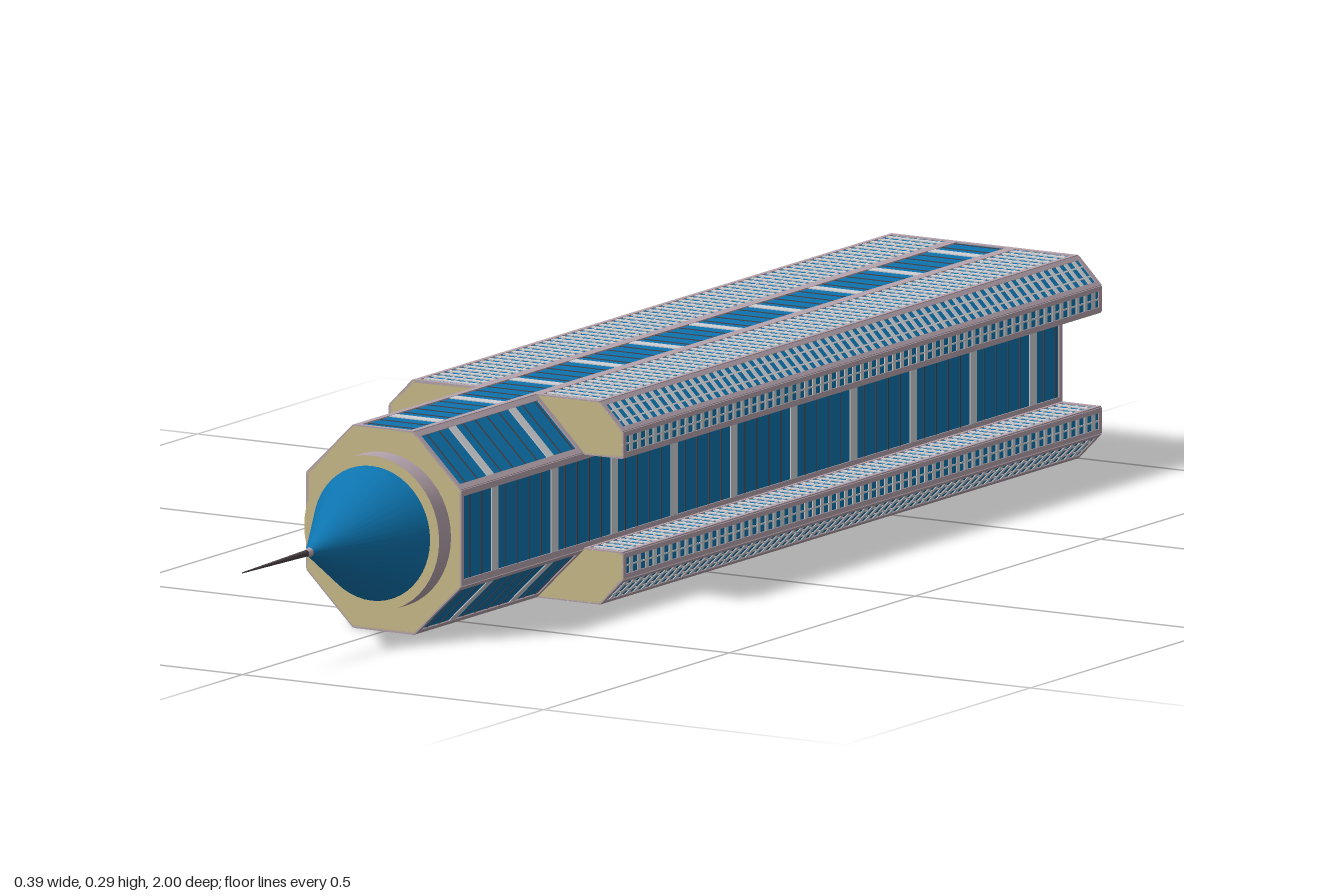
import * as THREE from 'three';
import { mergeGeometries } from 'three/addons/utils/BufferGeometryUtils.js';

const mat = (name, color, extra = {}) => new THREE.MeshStandardMaterial({ name, color, ...extra });
const CY = 0.1465;      // height of the long axis
const BACK = -0.998;

export function createModel() {
  const glass = mat('blueGlass', 0x0d73ae);
  const stone = mat('tanStone', 0xc9bb88);
  const trim = mat('mauveTrim', 0xb5a3ad);
  const pale = mat('paleBand', 0xcfd0d4);
  const dark = mat('darkMetal', 0x4b4145);
  const model = new THREE.Group();
  model.name = 'tower';

  const add = (name, geo, material, parent) => {
    const m = new THREE.Mesh(geo, material);
    m.name = name;
    parent.add(m);
    return m;
  };

  // Prism along z from an outline in the xy plane
  const prism = (pts, z0, z1) => {
    const g = new THREE.ExtrudeGeometry(new THREE.Shape(pts.map(p => new THREE.Vector2(p[0], p[1]))),
      { depth: z1 - z0, bevelEnabled: false });
    return g.translate(0, CY, z0);
  };

  // Outline shrunk about its centre
  const shrink = (pts, s) => {
    const cx = pts.reduce((a, p) => a + p[0], 0) / pts.length;
    const cy = pts.reduce((a, p) => a + p[1], 0) / pts.length;
    return pts.map(p => [cx + (p[0] - cx) * s, cy + (p[1] - cy) * s]);
  };

  // Strip lying on the wall a-b, from distance s0 to s1 along it and z0 to z1
  const strip = (a, b, s0, s1, z0, z1, thick) => {
    const dx = b[0] - a[0], dy = b[1] - a[1], len = Math.hypot(dx, dy), mid = (s0 + s1) / 2 / len;
    return new THREE.BoxGeometry(s1 - s0, thick, z1 - z0)
      .rotateZ(Math.atan2(dy, dx))
      .translate(a[0] + dx * mid, a[1] + dy * mid + CY, (z0 + z1) / 2);
  };
  const length = (a, b) => Math.hypot(b[0] - a[0], b[1] - a[1]);

  // Frame of a wall: two long rails and two end rails
  const frame = (a, b, z0, z1, w) => {
    const L = length(a, b);
    return [
      strip(a, b, 0, w, z0, z1, 0.004), strip(a, b, L - w, L, z0, z1, 0.004),
      strip(a, b, w, L - w, z0, z0 + 0.008, 0.004), strip(a, b, w, L - w, z1 - 0.008, z1, 0.004),
    ];
  };

  // Central octagonal shaft
  const core = new THREE.Group();
  core.name = 'centralShaft';
  model.add(core);
  const X = 0.127, Y = 0.1445, cx = 0.05, cy = 0.069;
  const oct = [[X, -cy], [X, cy], [cx, Y], [-cx, Y], [-X, cy], [-X, -cy], [-cx, -Y], [cx, -Y]];
  const TOP = 0.62, WING = 0.29;
  add('shaftGlass', prism(oct, BACK, TOP - 0.004), glass, core);
  add('shaftFrontCap', prism(oct, TOP - 0.004, TOP), stone, core);
  add('shaftBackCap', prism(shrink(oct, 0.94), -1, BACK), stone, core);

  const rails = [], bands = [], floors = [];
  oct.forEach((a, i) => {
    const b = oct[(i + 1) % 8], L = length(a, b);
    const start = i % 2 ? WING : BACK;      // diagonal walls show only above the wings
    rails.push(...frame(a, b, start, TOP, 0.009));
    for (let k = 0; k < 10; k++) {
      const z = 0.528 - 0.161 * k;
      if (z > start) bands.push(strip(a, b, 0.009, L - 0.009, z - 0.009, z + 0.009, 0.003));
    }
    for (let z = TOP - 0.025; z > start + 0.01; z -= 0.0322)
      floors.push(strip(a, b, 0.009, L - 0.009, z - 0.001, z + 0.001, 0.002));
  });
  add('shaftRails', mergeGeometries(rails), trim, core);
  add('shaftBands', mergeGeometries(bands), pale, core);
  add('shaftFloorLines', mergeGeometries(floors), dark, core);

  // Four corner wings, mirrored in x and y
  const base = [[X, cy], [0.193, cy], [0.193, 0.106], [0.155, Y], [cx, Y]];
  for (const sx of [1, -1]) for (const sy of [1, -1]) {
    const wing = new THREE.Group();
    wing.name = (sy > 0 ? 'upper' : 'lower') + (sx > 0 ? 'Left' : 'Right') + 'Wing';
    model.add(wing);
    const pts = base.map(p => [p[0] * sx, p[1] * sy]);
    add('wingGlass', prism(pts, BACK, WING - 0.004), glass, wing);
    add('wingFrontCap', prism(pts, WING - 0.004, WING), stone, wing);
    add('wingBackCap', prism(shrink(pts, 0.72), -1, BACK), stone, wing);
    const edge = [], ribs = [];
    for (let i = 0; i < 4; i++) {
      const a = pts[i], b = pts[i + 1], L = length(a, b);
      edge.push(...frame(a, b, BACK, WING, 0.007));
      // Floor slabs
      const n = 60, pitch = (WING - BACK) / n;
      for (let k = 1; k < n; k++) {
        const z = BACK + k * pitch;
        ribs.push(strip(a, b, 0.007, L - 0.007, z - 0.0042, z + 0.0042, 0.003));
      }
      // Mullions between the windows
      const cols = Math.max(2, Math.round(L / 0.018));
      for (let k = 1; k < cols; k++) {
        const s = L * k / cols;
        ribs.push(strip(a, b, s - 0.0012, s + 0.0012, BACK, WING, 0.0025));
      }
    }
    add('wingRails', mergeGeometries(edge), trim, wing);
    add('wingFloorSlabs', mergeGeometries(ribs), pale, wing);
  }

  // Crown: collar, glass cone and needle on the long axis
  const onAxis = (name, r1, r0, z0, z1, seg, m) => add(name,
    new THREE.CylinderGeometry(r1, r0, z1 - z0, seg).rotateX(Math.PI / 2).translate(0, CY, (z0 + z1) / 2), m, model);
  onAxis('collar', 0.112, 0.112, TOP, 0.652, 48, [trim, stone, stone]);
  onAxis('crownCone', 0.006, 0.097, 0.652, 0.82, 48, glass);
  onAxis('needleBase', 0.005, 0.008, 0.812, 0.828, 16, trim);
  onAxis('needle', 0.0008, 0.005, 0.82, 1, 12, dark);

  return model;
}
